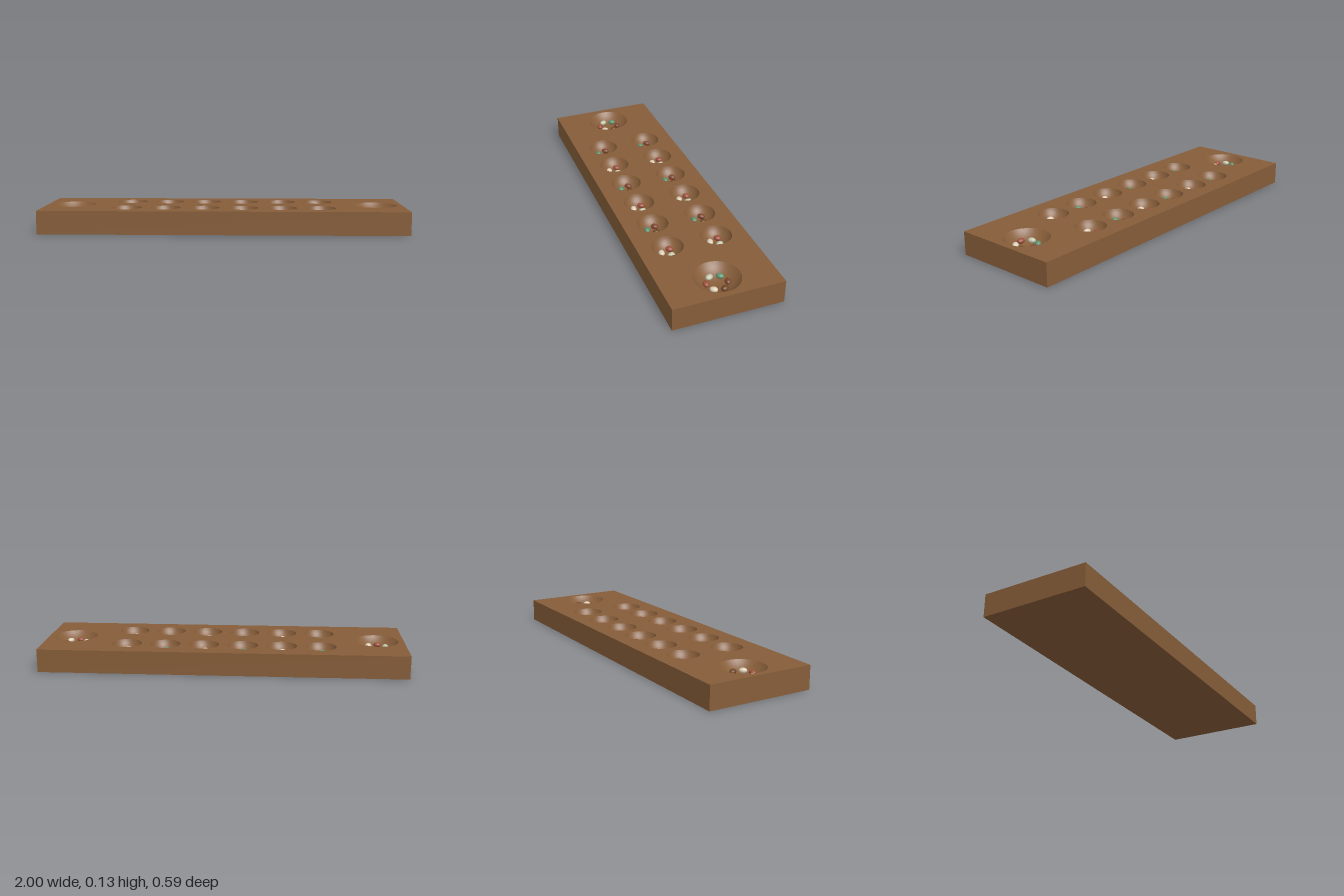
import * as THREE from 'three';

const W = 2, H = 0.127, D = 0.59;
const DEG = Math.PI / 180;

function material(name, color) {
  const m = new THREE.MeshStandardMaterial({ color });
  m.name = name;
  return m;
}

function addMesh(parent, name, geometry, mat) {
  const mesh = new THREE.Mesh(geometry, mat);
  mesh.name = name;
  parent.add(mesh);
  return mesh;
}

// Spherical hollow, wound so that its inner side faces up
function bowlGeometry(radius, depth) {
  const R = (radius * radius + depth * depth) / (2 * depth);
  const half = Math.asin(radius / R);
  const points = [];
  for (let i = 0; i <= 12; i++) {
    const a = half * (1 - i / 12);
    points.push(new THREE.Vector2(R * Math.sin(a), R - depth - R * Math.cos(a)));
  }
  return new THREE.LatheGeometry(points, 48);
}

// Depth of the hollow's surface at a distance from its centre
function depthAt(radius, depth, r) {
  const R = (radius * radius + depth * depth) / (2 * depth);
  return depth - (R - Math.sqrt(R * R - r * r));
}

export function createModel() {
  const group = new THREE.Group();
  group.name = 'pitAndSeedBoard';

  const wood = material('wood', 0x865d39);
  const seedMaterials = [
    material('cream', 0xdccdb6),
    material('brickRed', 0x9c4f3c),
    material('paleSage', 0xc2c6ac),
    material('green', 0x5f9270),
    material('redBrown', 0x7c4630),
    material('darkBrown', 0x6e4523),
  ];

  // Two rows of six pits and a store at each end
  const hollows = [];
  for (const z of [-0.135, 0.135]) {
    for (let i = 0; i < 6; i++) {
      hollows.push({
        name: 'pit', x: (i - 2.5) * 0.214, z, radius: 0.083, depth: 0.06,
        ring: 0.03, start: 100, count: 3, firstColor: i % 2 ? 0 : 3,
      });
    }
  }
  for (const x of [-0.85, 0.85]) {
    hollows.push({
      name: 'store', x, z: 0, radius: 0.12, depth: 0.062,
      ring: 0.055, start: 40, count: 6, firstColor: 0,
    });
  }

  // Sides and underside: a box without its upper face
  const body = new THREE.BoxGeometry(W, H, D);
  body.setIndex(Array.from(body.index.array).filter((_, i) => i < 12 || i >= 18));
  body.clearGroups();
  body.translate(0, H / 2, 0);
  addMesh(group, 'boardBody', body, wood);

  // Upper face with round openings
  const face = new THREE.Shape([
    new THREE.Vector2(-W / 2, -D / 2), new THREE.Vector2(W / 2, -D / 2),
    new THREE.Vector2(W / 2, D / 2), new THREE.Vector2(-W / 2, D / 2),
  ]);
  for (const h of hollows) {
    const hole = new THREE.Path();
    hole.absarc(h.x, -h.z, h.radius, 0, Math.PI * 2, true);
    face.holes.push(hole);
  }
  const top = new THREE.ShapeGeometry(face, 24);
  top.rotateX(-Math.PI / 2);
  top.translate(0, H, 0);
  addMesh(group, 'boardTop', top, wood);

  // Hollows, each with a ring of seeds
  const seed = new THREE.SphereGeometry(1, 20, 14);
  seed.scale(0.021, 0.014, 0.016);
  for (const h of hollows) {
    const part = new THREE.Group();
    part.name = h.name;
    part.position.set(h.x, H, h.z);
    addMesh(part, h.name + 'Bowl', bowlGeometry(h.radius, h.depth), wood);
    const y = 0.013 - depthAt(h.radius, h.depth, h.ring);
    for (let i = 0; i < h.count; i++) {
      const a = (h.start + (i * 360) / h.count) * DEG;
      const s = addMesh(part, 'seed', seed, seedMaterials[h.firstColor + i]);
      s.position.set(h.ring * Math.cos(a), y, h.ring * Math.sin(a));
      s.rotation.y = Math.PI / 2 - a;
    }
    group.add(part);
  }
  return group;
}
